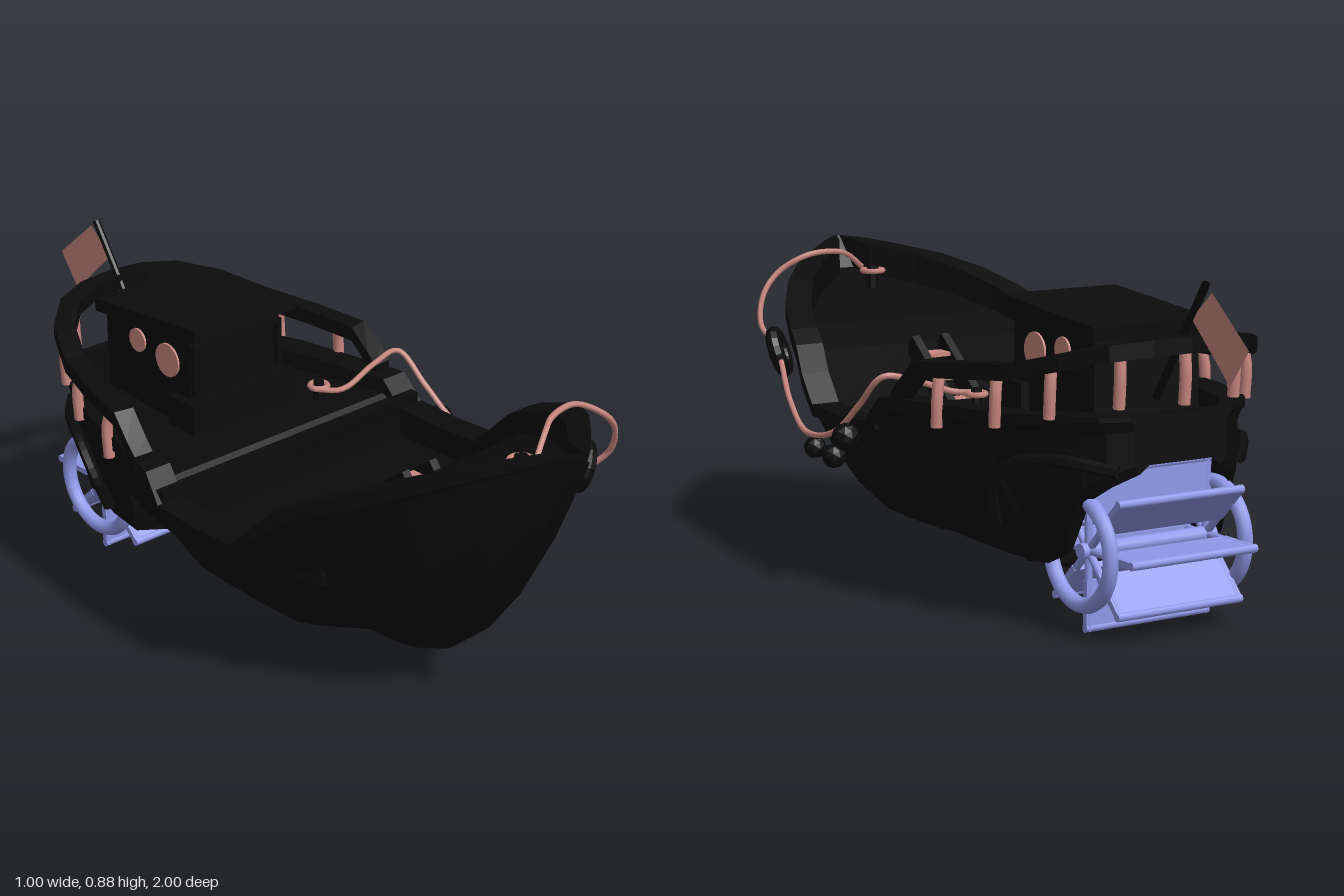
import * as THREE from 'three';

const mat = (color, extra = {}) => new THREE.MeshStandardMaterial({ color, ...extra });
const V = (x, y, z) => new THREE.Vector3(x, y, z);

// Skin a list of equal-length loops, closing both ends with fans.
function loft(loops) {
  const n = loops[0].length, pos = [], idx = [];
  loops.forEach(l => l.forEach(p => pos.push(p.x, p.y, p.z)));
  for (let s = 0; s < loops.length - 1; s++) {
    for (let i = 0; i < n; i++) {
      const j = (i + 1) % n, a = s * n + i, b = s * n + j, c = b + n, d = a + n;
      idx.push(a, b, c, a, c, d);
    }
  }
  [[0, true], [loops.length - 1, false]].forEach(([s, flip]) => {
    const c = loops[s].reduce((m, p) => m.add(p), V(0, 0, 0)).divideScalar(n);
    const k = pos.push(c.x, c.y, c.z) / 3 - 1;
    for (let i = 0; i < n; i++) {
      const a = s * n + i, b = s * n + (i + 1) % n;
      idx.push(k, flip ? b : a, flip ? a : b);
    }
  });
  const g = new THREE.BufferGeometry();
  g.setAttribute('position', new THREE.Float32BufferAttribute(pos, 3));
  g.setIndex(idx);
  g.computeVertexNormals();
  return g;
}

// Hull cross-section: deck, bulwark, lip, side, keel; the stern has a wheel tunnel.
const SIDE = [[1, 1], [1, 0.925], [0.955, 0.9], [0.89, 0.75], [0.71, 0.45], [0.52, 0.24], [0.24, 0.14]];
function section([z, hw, sheer, keel, deck, tunnel]) {
  const inner = Math.max(hw - 0.08, hw * 0.3);
  const lean = 1 + Math.max(0, z - 0.4) * 1.1;
  const half = [[inner, deck], [inner, sheer]];
  SIDE.forEach(([w, h]) => {
    let x = hw * Math.pow(w, lean);
    if (tunnel) x = Math.max(x, Math.min(0.238, hw * 0.9));
    half.push([x, keel + (sheer - keel) * h]);
  });
  if (tunnel) {
    const t = Math.min(0.225, hw * 0.8);
    half.push([t, keel], [t, tunnel]);
  } else {
    const t = Math.min(0.02, hw);
    half.push([t, keel + (sheer - keel) * 0.06], [t, keel]);
  }
  const mirror = half.slice().reverse().map(([x, y]) => [-x, y]);
  return [[0, deck], ...half, ...mirror].map(([x, y]) => V(x, y, z));
}

export function createModel() {
  const root = new THREE.Group();
  const boat = new THREE.Group();
  boat.name = 'boat';
  boat.position.x = -0.03;
  root.add(boat);
  const dark = mat(0x0b0b0b, { flatShading: true, side: THREE.DoubleSide });
  const pink = mat(0xc98880, { side: THREE.DoubleSide });
  const blue = mat(0x9098e8);

  const add = (parent, name, geo, m, x = 0, y = 0, z = 0) => {
    const mesh = new THREE.Mesh(geo, m);
    mesh.name = name;
    mesh.position.set(x, y, z);
    parent.add(mesh);
    return mesh;
  };
  const box = (parent, name, m, w, h, d, x, y, z) => add(parent, name, new THREE.BoxGeometry(w, h, d), m, x, y, z);
  const tube = (parent, name, m, pts, r, seg = 40, sides = 8) =>
    add(parent, name, new THREE.TubeGeometry(new THREE.CatmullRomCurve3(pts.map(p => V(...p))), seg, r, sides), m);

  // Hull stations: z, half width, sheer, keel, deck height, tunnel roof
  const stations = [
    [1, 0.015, 0.82, 0.79, 0.82], [0.95, 0.075, 0.812, 0.67, 0.73], [0.9, 0.13, 0.8, 0.55, 0.715],
    [0.8, 0.237, 0.773, 0.36, 0.685], [0.7, 0.32, 0.735, 0.22, 0.655], [0.6, 0.38, 0.69, 0.13, 0.62],
    [0.48, 0.425, 0.635, 0.08, 0.57], [0.478, 0.425, 0.635, 0.08, 0.38], [0.42, 0.44, 0.6, 0.068, 0.38],
    [0.35, 0.46, 0.533, 0.064, 0.38],
    [0.28, 0.467, 0.462, 0.06, 0.38], [0.14, 0.468, 0.455, 0.057, 0.38], [0, 0.465, 0.46, 0.057, 0.38],
    [-0.002, 0.465, 0.46, 0.057, 0.45], [-0.06, 0.455, 0.53, 0.06, 0.49], [-0.2, 0.42, 0.535, 0.07, 0.49],
    [-0.39, 0.375, 0.54, 0.085, 0.49], [-0.4, 0.372, 0.54, 0.145, 0.49, 0.43],
    [-0.5, 0.335, 0.54, 0.16, 0.5, 0.43], [-0.6, 0.285, 0.55, 0.205, 0.5, 0.43],
    [-0.65, 0.255, 0.55, 0.34, 0.5, 0.43], [-0.7, 0.215, 0.55, 0.38, 0.5, 0.43],
    [-0.701, 0.215, 0.55, 0.38, 0.55, 0.43], [-0.735, 0.15, 0.55, 0.41, 0.55, 0.43],
  ];
  add(boat, 'hull', loft(stations.map(section)), dark);
  box(boat, 'deckBeam', dark, 0.9, 0.05, 0.03, 0, 0.465, -0.015);

  // Arched guards on the hull above the wheel
  [1, -1].forEach(s => tube(boat, 'wheelGuard', dark,
    [[0.315, 0.25, -0.4], [0.345, 0.36, -0.43], [0.33, 0.42, -0.5], [0.285, 0.44, -0.6], [0.18, 0.42, -0.73]]
      .map(([x, y, z]) => [x * s, y, z]), 0.016, 20, 6));

  // Stern rail: flat cap swept round the stern, on leaning posts
  const halfRail = [[0.42, 0.53, -0.11], [0.418, 0.56, -0.14], [0.41, 0.62, -0.2], [0.38, 0.632, -0.35],
    [0.335, 0.645, -0.5], [0.27, 0.68, -0.63], [0.19, 0.705, -0.705], [0.1, 0.715, -0.74]];
  const rail = [...halfRail, [0, 0.718, -0.748], ...halfRail.slice().reverse().map(([x, y, z]) => [-x, y, z])]
    .map(p => V(...p));
  const railLoops = rail.map((p, i) => {
    const t = rail[Math.min(i + 1, rail.length - 1)].clone().sub(rail[Math.max(i - 1, 0)]).setY(0).normalize();
    const r = V(-t.z, 0, t.x).multiplyScalar(0.028);
    return [[-1, 1], [1, 1], [1, -1], [-1, -1]].map(([a, b]) => p.clone().addScaledVector(r, a).add(V(0, b * 0.02, 0)));
  });
  add(boat, 'sternRail', loft(railLoops), dark);
  const post = (x, y, z) => tube(boat, 'railPost', pink,
    [[x, y, z], [x * 1.02, y - 0.05, z - 0.005], [x * 1.02, y - 0.13, z]], 0.015, 6);
  [[0.4, 0.61, -0.27], [0.35, 0.635, -0.46], [0.285, 0.67, -0.6], [0.165, 0.7, -0.715]]
    .forEach(([x, y, z]) => [1, -1].forEach(s => post(s * x, y, z)));
  post(0, 0.7, -0.745);

  // Cabin with sloping roof, front window, base step and portholes
  const cabin = new THREE.Group();
  cabin.name = 'cabin';
  boat.add(cabin);
  box(cabin, 'cabinWalls', dark, 0.31, 0.27, 0.35, 0, 0.61, -0.415);
  box(cabin, 'cabinBase', dark, 0.36, 0.09, 0.1, 0, 0.53, -0.25);
  box(cabin, 'cabinRoof', dark, 0.35, 0.035, 0.42, 0, 0.753, -0.405).rotation.x = -0.09;
  [[0.29, 0.015, 0, 0.72], [0.29, 0.015, 0, 0.59], [0.015, 0.14, 0.145, 0.655], [0.015, 0.14, -0.145, 0.655]]
    .forEach(([w, h, x, y]) => box(cabin, 'windowFrame', dark, w, h, 0.02, x, y, -0.235));
  [[-0.33, 0.66, 0.047], [-0.455, 0.677, 0.033]].forEach(([z, y, r]) => [1, -1].forEach(s => {
    add(cabin, 'porthole', new THREE.CylinderGeometry(r, r, 0.012, 20), pink, s * 0.155, y, z).rotation.z = Math.PI / 2;
  }));

  // Steps from the main deck to the foredeck
  [0.3, 0.37, 0.435].forEach((z, i) => box(boat, 'stairTread', pink, 0.066, 0.012, 0.055, 0, 0.43 + i * 0.055, z));
  [1, -1].forEach(s => {
    box(boat, 'stairSide', dark, 0.024, 0.06, 0.3, s * 0.047, 0.475, 0.36).rotation.x = -0.66;
  });

  // Flag on a raked pole
  tube(boat, 'flagPole', dark, [[0, 0.57, -0.63], [0, 0.72, -0.728], [0, 0.87, -0.827]], 0.01, 4);
  const flag = new THREE.Shape([[0.77, 0.78], [0.85, 0.85], [0.995, 0.73], [0.925, 0.637]]
    .map(p => new THREE.Vector2(...p)));
  add(boat, 'flag', new THREE.ShapeGeometry(flag), pink).rotation.y = Math.PI / 2;

  // Paddle wheel
  const wheel = new THREE.Group();
  wheel.name = 'paddleWheel';
  wheel.position.set(0, 0.205, -0.6);
  boat.add(wheel);
  add(wheel, 'axle', new THREE.CylinderGeometry(0.02, 0.02, 0.4, 14), blue).rotation.z = Math.PI / 2;
  [1, -1].forEach(s => {
    add(wheel, 'wheelRing', new THREE.TorusGeometry(0.132, 0.02, 10, 40), blue, s * 0.2).rotation.y = Math.PI / 2;
  });
  for (let i = 0; i < 8; i++) {
    const arm = new THREE.Group();
    arm.name = 'wheelArm';
    arm.rotation.x = i * Math.PI / 4;
    wheel.add(arm);
    box(arm, 'paddle', blue, 0.37, 0.125, 0.016, 0, 0.137, 0);
    add(arm, 'paddleEdge', new THREE.CylinderGeometry(0.011, 0.011, 0.37, 8), blue, 0, 0.194, 0).rotation.z = Math.PI / 2;
    [1, -1].forEach(s => add(arm, 'spoke', new THREE.CylinderGeometry(0.01, 0.01, 0.2, 8), blue, s * 0.175, 0.1, 0));
  }

  // Mooring ropes with their coils on bollards
  tube(root, 'bowRope', pink, [[-0.02, 0.745, 0.84], [0.04, 0.785, 0.81], [0.09, 0.8, 0.785], [0.19, 0.797, 0.77], [0.27, 0.752, 0.795],
    [0.325, 0.69, 0.785], [0.35, 0.61, 0.75], [0.33, 0.56, 0.71], [0.34, 0.51, 0.67]], 0.008, 60, 6);
  tube(root, 'sideRope', pink, [[0.37, 0.53, 0.59], [0.43, 0.45, 0.42], [0.468, 0.395, 0.25], [0.465, 0.42, 0.1],
    [0.45, 0.5, 0], [0.425, 0.585, -0.085], [0.34, 0.57, -0.09], [0.22, 0.53, -0.09], [0.165, 0.53, -0.14]], 0.008, 70, 6);
  [[-0.04, 0.735, 0.81, 0.03], [0.19, 0.53, -0.15, 0.024]].forEach(([x, y, z, r]) => {
    add(root, 'ropeCoil', new THREE.TorusGeometry(r, 0.008, 6, 20), pink, x, y, z).rotation.x = Math.PI / 2;
    add(root, 'bollard', new THREE.CylinderGeometry(r * 0.6, r * 0.6, 0.07, 8), dark, x, y - 0.02, z);
  });

  // Ring fender at the bow and ball fenders along the side
  const ring = add(root, 'ringFender', new THREE.TorusGeometry(0.052, 0.022, 8, 18), dark, 0.335, 0.545, 0.67);
  ring.lookAt(1.2, 0.2, 1.25);
  [[0.463, 0.415, 0.045, 0.037], [0.452, 0.35, 0.13, 0.033], [0.45, 0.355, 0.24, 0.03]].forEach(([x, y, z, r]) =>
    add(root, 'ballFender', new THREE.IcosahedronGeometry(r, 1), dark, x, y, z));
  return root;
}
